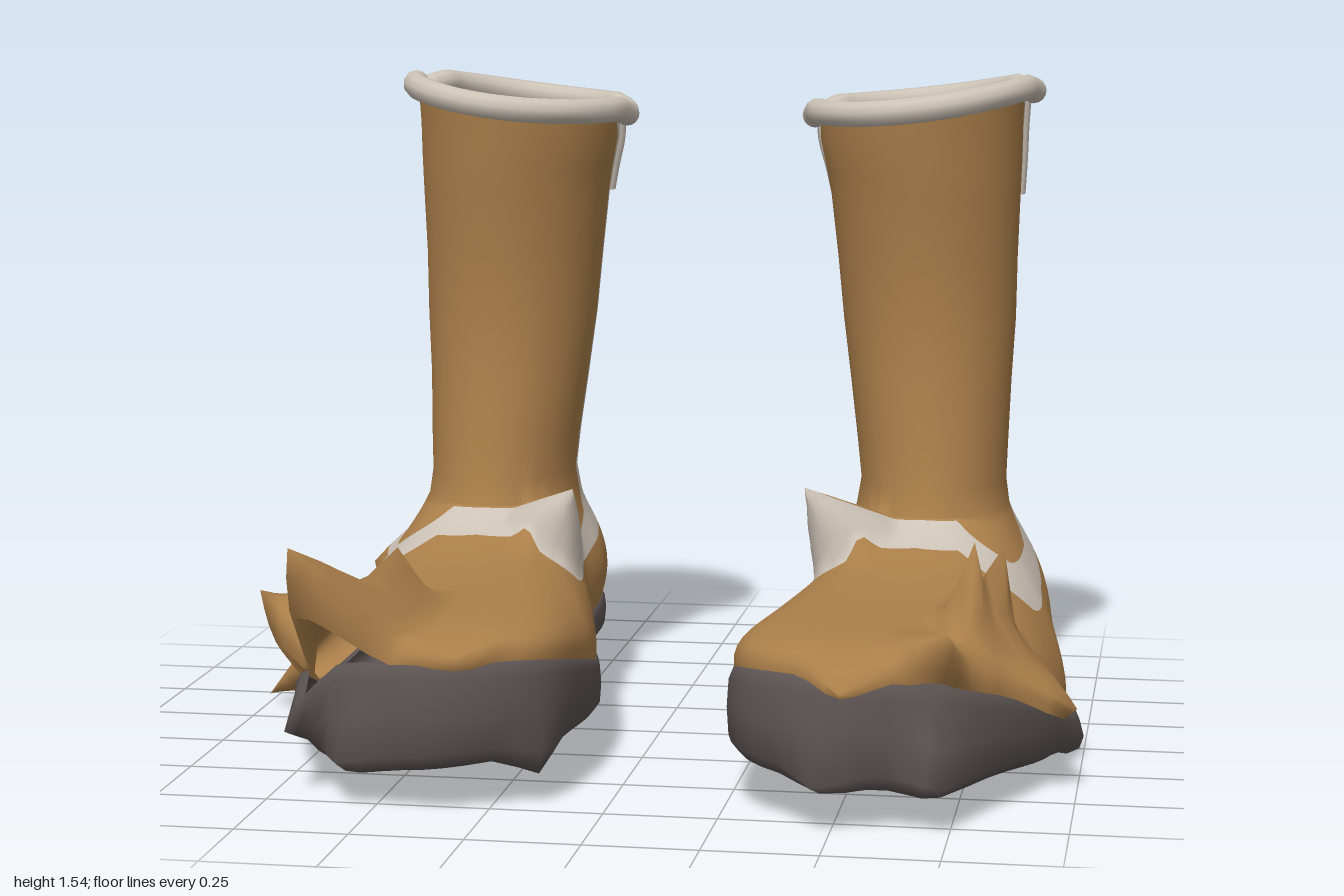
import * as THREE from 'three';

const leather = new THREE.MeshStandardMaterial({ color: 0xab7f4a, side: THREE.DoubleSide });
leather.name = 'tan leather';
const trim = new THREE.MeshStandardMaterial({ color: 0xcdc3b7, side: THREE.DoubleSide });
trim.name = 'pale trim';
const rubber = new THREE.MeshStandardMaterial({ color: 0x5c5452, side: THREE.DoubleSide });
rubber.name = 'dark sole';

const V = (x, y, z) => new THREE.Vector3(x, y, z);
const { clamp, lerp, mapLinear } = THREE.MathUtils;

// Linear interpolation of column k in a table keyed by its first column
function lookup(table, v, k) {
  const i = Math.max(1, table.findIndex((p) => p[0] >= v));
  const [a, b] = [table[i - 1], table[i]];
  return mapLinear(v, a[0], b[0], a[k], b[k]);
}

// Shaft rings: y, x min, x max, z back, z front
const SHAFT = [
  [1.47, 0.32, 0.815, -0.745, -0.185], [1.4, 0.322, 0.81, -0.738, -0.193], [1.32, 0.337, 0.808, -0.728, -0.203],
  [1.25, 0.348, 0.805, -0.718, -0.213], [1.1, 0.365, 0.8, -0.707, -0.235], [0.95, 0.38, 0.798, -0.698, -0.244],
  [0.8, 0.4, 0.79, -0.688, -0.236], [0.65, 0.42, 0.785, -0.68, -0.212], [0.56, 0.43, 0.782, -0.685, -0.2],
  [0.5, 0.42, 0.79, -0.705, -0.18],
];
const ANKLE = SHAFT[SHAFT.length - 1];

// Ankle band: angle from the front, where it starts and ends between ankle (0) and sole (1)
const BAND = [[0, 0.005, 0.11], [25, 0.01, 0.13], [55, 0.24, 0.47], [85, 0.28, 0.53], [105, 0.04, 0.46], [140, 0.03, 0.36], [180, 0.02, 0.33]];
const FOOT_ROWS = 22, BAND_START = 5, BAND_END = 10;

// Sole edge, one point every 20 degrees, from the toe round the outer side
const edge = new THREE.CatmullRomCurve3([
  [0.53, 0.33, 0.82], [0.74, 0.295, 0.71], [0.91, 0.2, 0.39], [0.955, 0.11, 0.04], [0.91, 0.15, -0.25], [0.88, 0.17, -0.46],
  [0.85, 0.18, -0.6], [0.78, 0.19, -0.71], [0.69, 0.2, -0.77], [0.6, 0.2, -0.78], [0.51, 0.2, -0.76], [0.43, 0.21, -0.69],
  [0.39, 0.22, -0.58], [0.37, 0.22, -0.46], [0.365, 0.2, -0.25], [0.295, 0.18, 0], [0.25, 0.25, 0.35], [0.3, 0.32, 0.69],
].map((p) => V(...p)), true);
const edgePoint = (deg) => edge.getPoint((((deg % 360) + 360) % 360) / 360);

// Underside height: rocker profile along z, rolled towards the outer side
const ROCKER = [[-0.85, 0.14], [-0.7, 0.11], [-0.4, 0.095], [-0.2, 0.075], [0, 0.01], [0.2, 0.04], [0.5, 0.065], [0.95, 0.06]];
const underside = (x, z) => lookup(ROCKER, z, 1) + 0.08 * (0.93 - x);

// Half width of the side slit in degrees
const gap = (y) => 9 * clamp((y - 1.25) / 0.22, 0, 1);

function shaftPoint([y, x0, x1, z0, z1], deg, back, grow = 1) {
  const g = gap(y);
  const t = THREE.MathUtils.degToRad(back ? 180 + (deg - 180) * (1 - g / 78) : deg * (1 - g / 102));
  const x = (x0 + x1) / 2 + ((x1 - x0) / 2) * Math.sin(t) * grow;
  const z = (z0 + z1) / 2 + ((z1 - z0) / 2) * Math.cos(t) * grow;
  return V(x, y + (g / 9) * (0.12 * (x - 0.57) - 0.015 * Math.cos(t) ** 2), z);
}

function footPoint(row, deg) {
  const d = Math.abs(deg > 180 ? deg - 360 : deg);
  const [t1, t2] = [lookup(BAND, d, 1), lookup(BAND, d, 2)];
  const t = lookup([[0, 0], [BAND_START, t1], [BAND_END, t2], [FOOT_ROWS, 1]], row, 1);
  const a = shaftPoint(ANKLE, deg, false);
  const s = edgePoint(deg);
  const out = V(s.x - a.x, 0, s.z - a.z).setLength(0.05);
  const p1 = a.clone().lerp(s, 0.33).setY(0.395 - 0.075 * Math.cos(THREE.MathUtils.degToRad(deg)));
  const p2 = s.clone().add(out).setY(s.y + 0.13);
  return new THREE.CubicBezierCurve3(a, p1, p2, s).getPoint(t);
}

// Torn points: base on the skin, tip, radius of the pulled area
const TORN = {
  left: {
    upper: [
      [[0.43, 0.45, -0.16], [0.335, 0.59, -0.05], 0.12], [[0.63, 0.47, -0.71], [0.66, 0.61, -0.78], 0.08],
      [[0.6, 0.41, -0.77], [0.53, 0.45, -0.9], 0.17], [[0.77, 0.36, 0.44], [0.77, 0.56, 0.43], 0.08],
      [[0.81, 0.34, 0.32], [0.83, 0.54, 0.36], 0.08], [[0.92, 0.26, 0.42], [1.0, 0.2, 0.45], 0.13],
      [[0.53, 0.35, 0.82], [0.52, 0.31, 0.865], 0.1], [[0.7, 0.36, 0.7], [0.74, 0.43, 0.8], 0.1],
    ],
    sole: [
      [[0.96, 0.07, 0.04], [1.0, 0.04, 0.04], 0.16], [[0.47, 0.12, 0.82], [0.46, 0.1, 0.85], 0.1],
      [[0.72, 0.12, 0.72], [0.73, 0.1, 0.83], 0.13], [[0.9, 0.03, 0.02], [0.9, 0, 0.02], 0.1],
    ],
  },
  right: {
    upper: [
      [[0.43, 0.45, -0.16], [0.36, 0.57, -0.05], 0.12], [[0.71, 0.38, 0.66], [0.79, 0.59, 0.9], 0.18],
      [[0.64, 0.4, 0.55], [0.64, 0.53, 0.54], 0.09], [[0.92, 0.26, 0.38], [0.99, 0.4, 0.43], 0.14],
      [[0.94, 0.24, -0.08], [1.14, 0.02, -0.15], 0.17], [[0.57, 0.4, -0.78], [0.57, 0.44, -0.84], 0.12],
      [[0.74, 0.4, -0.73], [0.77, 0.42, -0.79], 0.1], [[0.89, 0.3, -0.44], [0.95, 0.3, -0.46], 0.13],
      [[0.7, 1.38, -0.7], [0.72, 1.34, -0.78], 0.1], [[0.45, 0.36, 0.78], [0.44, 0.35, 0.83], 0.1],
    ],
    sole: [
      [[0.68, 0.12, 0.74], [0.72, 0.1, 0.8], 0.12], [[0.82, 0.2, 0.62], [0.85, 0.15, 0.74], 0.13],
      [[0.94, 0.03, 0.1], [0.98, 0.01, 0.12], 0.12], [[0.3, 0.1, 0.66], [0.29, 0.07, 0.7], 0.1],
    ],
  },
};

// Draw the nearest vertex out to each tip, its neighbours following less and less
function tear(points, list) {
  for (const [base, tip, radius] of list) {
    const b = V(...base);
    const centre = points.reduce((m, p) => (p.distanceToSquared(b) < m.distanceToSquared(b) ? p : m)).clone();
    const move = V(...tip).sub(centre);
    const weights = points.map((p) => Math.max(0, 1 - p.distanceTo(centre) / radius));
    points.forEach((p, i) => p.addScaledVector(move, weights[i]));
  }
}

function skin(points, buckets) {
  const geo = new THREE.BufferGeometry().setFromPoints(points);
  geo.setIndex(buckets.flat());
  let start = 0;
  buckets.forEach((b, i) => { geo.addGroup(start, b.length, i); start += b.length; });
  geo.computeVertexNormals();
  return geo;
}

// Shaft and foot in one skin, split at both slits
function upperGeometry(torn) {
  const cols = [];
  for (let deg = -102; deg <= 102; deg += 3) cols.push({ deg, back: false });
  const half = cols.length;
  for (let deg = 102; deg <= 258; deg += 3) cols.push({ deg, back: true });
  const last = cols.length - 1, n = SHAFT.length;
  const points = [];
  for (let r = 0; r < n + FOOT_ROWS; r++) {
    for (const c of cols) points.push(r < n ? shaftPoint(SHAFT[r], c.deg, c.back) : footPoint(r - n + 1, c.deg));
  }
  tear(points, torn);
  // Below the slits the two halves share their seam vertices
  const id = (r, c) => {
    const open = r < n && gap(SHAFT[r][0]) > 0;
    return r * cols.length + (open ? c : c === half ? half - 1 : c === last ? 0 : c);
  };
  const buckets = [[], []];
  for (let r = 0; r < n + FOOT_ROWS - 1; r++) {
    const footRow = r - n + 1;
    for (let c = 0; c < last; c++) {
      if (c === half - 1) continue;
      const mid = (cols[c].deg + cols[c + 1].deg) / 2;
      const d = Math.abs(mid > 180 ? mid - 360 : mid);
      const stripe = (d > 93 && d < 111) || d > 161;
      const pale = footRow < BAND_START ? stripe : footRow < BAND_END;
      const [a, b, e, f] = [id(r, c), id(r + 1, c), id(r + 1, c + 1), id(r, c + 1)];
      buckets[pale ? 1 : 0].push(a, b, e, a, e, f);
    }
  }
  return skin(points, buckets);
}

// Sole: a shallow shell with a lip, puffy side wall and rocker underside
function soleGeometry(torn) {
  const N = 90;
  const rows = [[0.96, 0], [1, 0], [1.03, 0.15], [1.04, 0.5], [1.03, 0.85], [0.98, 1], [0.65, 1], [0.3, 1], [0.01, 1]];
  const points = [], idx = [];
  rows.forEach(([k, down], r) => {
    for (let i = 0; i < N; i++) {
      const s = edgePoint((i * 360) / N);
      const x = 0.6 + (s.x - 0.6) * k;
      const z = s.z * (k > 1 ? 1 + (k - 1) * 0.7 : k);
      points.push(V(x, lerp(s.y, underside(x, z), down), z));
      if (r === rows.length - 1) continue;
      const [a, b] = [r * N + i, r * N + ((i + 1) % N)];
      idx.push(a, a + N, b + N, a, b + N, b);
    }
  });
  tear(points, torn);
  return skin(points, [idx]);
}

function makeBoot(side) {
  const boot = new THREE.Group();
  boot.name = side + 'Boot';
  const add = (name, geo, material) => {
    if (side === 'right') {
      geo.scale(-1, 1, 1).translate(0.14, 0, 0);
      geo.index.array.reverse();
      const total = geo.index.count;
      geo.groups.forEach((g) => { g.start = total - g.start - g.count; });
    }
    const mesh = new THREE.Mesh(geo, material);
    mesh.name = name;
    boot.add(mesh);
  };
  add('upper', upperGeometry(TORN[side].upper), [leather, trim]);
  add('sole', soleGeometry(TORN[side].sole), rubber);

  // Rolled cuff in two arcs with rounded ends, plus piping down the slits
  for (const [name, from, to, back] of [['frontCuff', -102, 102, false], ['backCuff', 102, 258, true]]) {
    const pts = [];
    for (let i = 0; i <= 16; i++) {
      const p = shaftPoint(SHAFT[0], lerp(from, to, i / 16), back, i % 16 ? 1.03 : 1.07);
      pts.push(p.setY(p.y + (i % 16 ? 0.012 : 0)));
    }
    add(name, new THREE.TubeGeometry(new THREE.CatmullRomCurve3(pts), 40, 0.031, 10), trim);
    for (const [end, deg] of [[pts[0], from], [pts[16], to]]) {
      add('cuffEnd', new THREE.SphereGeometry(0.031, 12, 8).translate(end.x, end.y, end.z), trim);
      const seam = SHAFT.slice(0, 4).map((s) => shaftPoint(s, deg, back));
      add('slitPiping', new THREE.TubeGeometry(new THREE.CatmullRomCurve3(seam), 10, 0.014, 6), trim);
    }
  }
  return boot;
}

export function createModel() {
  const model = new THREE.Group();
  model.name = 'boots';
  model.add(makeBoot('left'), makeBoot('right'));
  return model;
}
